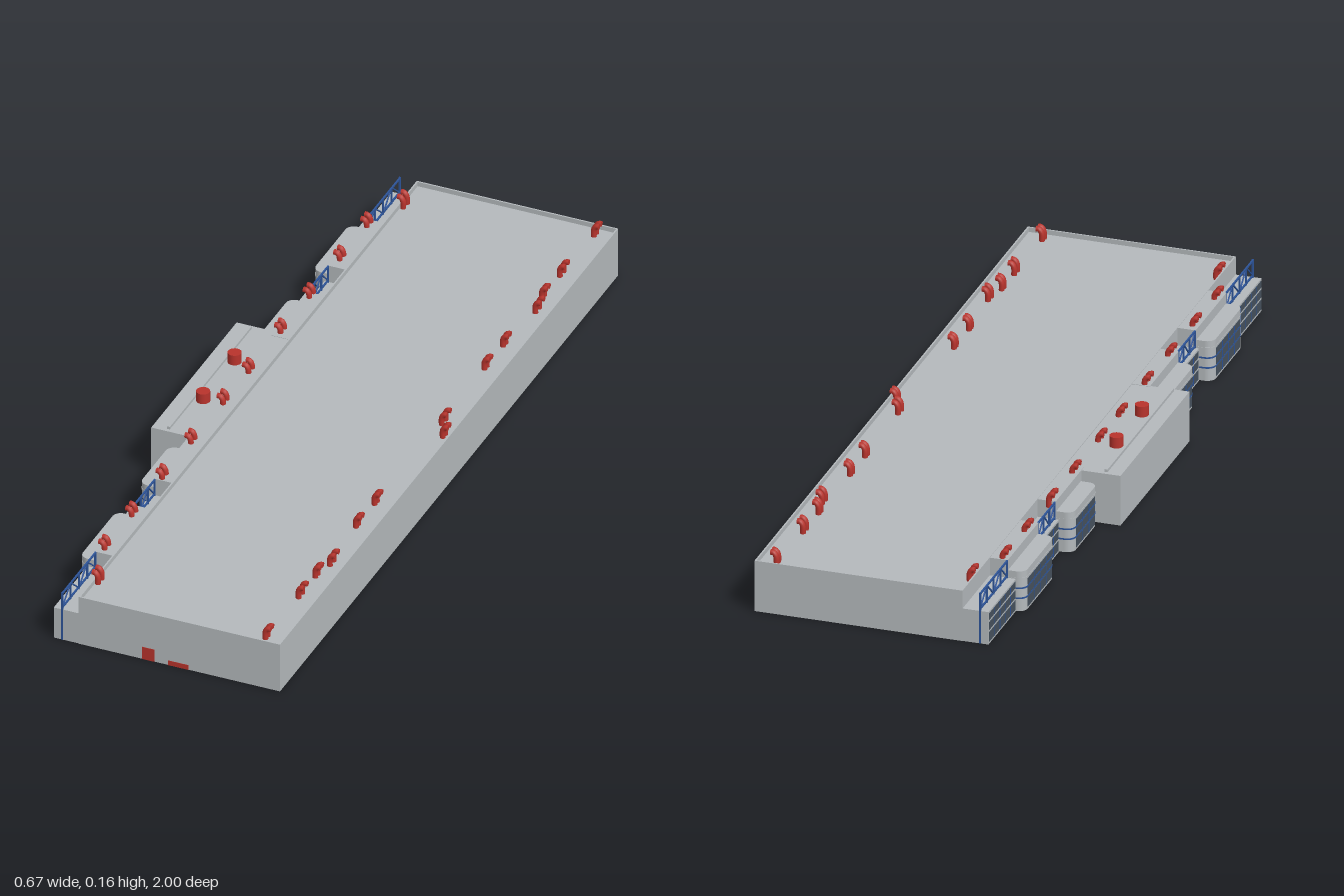
import * as THREE from 'three';

const mat = (name, color, side = THREE.FrontSide) => {
  const m = new THREE.MeshStandardMaterial({ color, side });
  m.name = name;
  return m;
};

export function createModel() {
  const grey = mat('concrete grey', 0xb4b9bc, THREE.DoubleSide);
  const red = mat('vent red', 0xb8332c, THREE.DoubleSide);
  const blue = mat('frame blue', 0x2d5499);
  const glass = mat('dark glass', 0x46525e);
  const root = new THREE.Group();
  root.name = 'building';

  const add = (name, geo, material, parent = root) => {
    const m = new THREE.Mesh(geo, material);
    m.name = name;
    parent.add(m);
    return m;
  };
  // Box given by its limits; open = without the bottom face
  const box = (name, x0, x1, y0, y1, z0, z1, material, open = false) => {
    const g = new THREE.BoxGeometry(x1 - x0, y1 - y0, z1 - z0);
    g.translate((x0 + x1) / 2, (y0 + y1) / 2, (z0 + z1) / 2);
    if (open) {
      const idx = Array.from(g.index.array);
      idx.splice(18, 6);
      g.setIndex(idx);
      g.clearGroups();
    }
    return add(name, g, material);
  };

  // Main hall: four thin walls with a parapet, and a sunken roof
  const H = 0.132, T = 0.004, X0 = -0.19, X1 = 0.333;
  box('rightWall', X0, X0 + T, 0, H, -1, 1, grey);
  box('leftWall', X1 - T, X1, 0, H, -1, 1, grey);
  for (const s of [-1, 1]) {
    const a = s, b = s * (1 - T);
    box('endWall', X0 + T, X1 - T, 0, H, Math.min(a, b), Math.max(a, b), grey);
  }
  box('mainRoof', X0 + T, X1 - T, 0.116, 0.12, -1 + T, 1 - T, grey);

  // Doors on the front end
  box('frontDoor', -0.025, 0.007, 0, 0.034, 0.999, 1.001, red);
  box('frontHatch', 0.042, 0.095, 0, 0.013, 0.999, 1.001, red);

  // Central block with roof ridge and two round vents
  box('centralBlock', -0.333, X0, 0, 0.13, -0.26, 0.245, grey, true);
  box('roofRidge', -0.297, -0.289, 0.13, 0.137, -0.25, 0.235, grey);
  for (const z of [-0.1, 0.086]) {
    const g = new THREE.CylinderGeometry(0.017, 0.017, 0.062, 20);
    add('roundVent', g, red).position.set(-0.268, 0.126, z);
  }

  // Plan of a bay with rounded outer corners
  const bayGeometry = (len, x, h, r = 0.022) => {
    const s = new THREE.Shape(), e = len / 2;
    s.moveTo(-0.23, -e);
    s.lineTo(-0.23, e);
    s.lineTo(x + r, e);
    s.absarc(x + r, e - r, r, Math.PI / 2, Math.PI, false);
    s.lineTo(x, -e + r);
    s.absarc(x + r, -e + r, r, Math.PI, Math.PI * 1.5, false);
    s.closePath();
    const g = new THREE.ExtrudeGeometry(s, { depth: h, bevelEnabled: false, curveSegments: 8 });
    return g.rotateX(-Math.PI / 2);
  };

  // Rows of windows with mullions on an outward face
  const windows = (x, z0, z1, rows) => {
    for (const [y0, y1] of rows) {
      box('windowBand', x - 0.001, x + 0.002, y0, y1, z0, z1, glass);
      const n = Math.max(2, Math.round((z1 - z0) / 0.04));
      for (let i = 1; i < n; i++) {
        const z = z0 + ((z1 - z0) * i) / n;
        box('mullion', x - 0.002, x, y0, y1, z - 0.001, z + 0.001, blue);
      }
    }
  };

  // Lattice railing along z
  const railing = (z0, z1) => {
    const x = -0.2335, y0 = 0.088, y1 = 0.131, t = 0.002;
    for (const y of [y0, y1 - 0.004]) box('rail', x - t, x + t, y, y + 0.004, z0, z1, blue);
    const n = Math.round((z1 - z0) / 0.045), step = (z1 - z0) / n;
    for (let i = 0; i <= n; i++) {
      const z = THREE.MathUtils.clamp(z0 + i * step, z0 + t, z1 - t);
      box('railPost', x - t, x + t, 0.085, y1, z - t, z + t, blue);
      if (i === n) continue;
      const g = new THREE.BoxGeometry(0.003, 0.003, Math.hypot(step, y1 - y0) - 0.004);
      const brace = add('railBrace', g, blue);
      brace.position.set(x, (y0 + y1) / 2, z0 + (i + 0.5) * step);
      brace.rotation.x = (i % 2 ? 1 : -1) * Math.atan2(y1 - y0, step);
    }
  };

  const rows = [[0.006, 0.031], [0.037, 0.057], [0.063, 0.08]];
  const span = (s, a, b) => (s > 0 ? [a, b] : [-b, -a]);
  for (const s of [-1, 1]) {
    // Full-height strips behind the bays
    for (const [a, b] of [[0.24, 0.45], [0.575, 0.8]]) {
      box('sideStrip', -0.235, X0, 0, 0.131, ...span(s, a, b), grey, true);
    }
    // Rounded bays with thin bands
    for (const [a, b] of [[0.265, 0.445], [0.58, 0.798]]) {
      const zc = (s * (a + b)) / 2, len = b - a;
      add('bay', bayGeometry(len, -0.277, 0.104), grey).position.z = zc;
      for (const y of [0.032, 0.058, 0.083]) {
        const band = add('bayBand', bayGeometry(len + 0.001, -0.2778, 0.004), y > 0.08 ? grey : blue);
        band.position.set(0, y, zc);
      }
      windows(-0.277, zc - len / 2 + 0.022, zc + len / 2 - 0.022, rows);
    }
    // Low terraces with railings: one between the bays, one at the end
    for (const [x, a, b] of [[-0.243, 0.45, 0.575], [-0.255, 0.8, 0.999]]) {
      const [z0, z1] = span(s, a, b);
      box('terrace', x, X0, 0, 0.085, z0, z1, grey, true);
      windows(x, z0 + 0.004, z1 - 0.004, rows);
      railing(z0, z1);
    }
    // Corner post
    box('cornerPost', -0.236, -0.231, 0, H, ...span(s, 0.997, 1), blue);
  }

  // Paired elbow vents along both roof edges
  const elbow = (x, z, dir) => {
    const path = new THREE.CatmullRomCurve3([
      [-0.002, 0.116], [-0.002, 0.138], [0.001, 0.146], [0.006, 0.15], [0.012, 0.15],
    ].map(([u, y]) => new THREE.Vector3(x + dir * u, y, z)));
    const g = new THREE.Group();
    g.name = 'elbowVent';
    root.add(g);
    add('ventPipe', new THREE.TubeGeometry(path, 10, 0.007, 10), red, g);
    const cap = add('ventMouth', new THREE.CircleGeometry(0.007, 10), red, g);
    cap.position.set(x + dir * 0.012, 0.15, z);
    cap.rotation.y = (dir * Math.PI) / 2;
  };
  const pair = (x, z, dir, gap = 0.011) => {
    for (const s of [-1, 1]) elbow(x, z + s * gap, dir);
  };
  const leftVents = [
    [0.288, -0.97, 0.007], [0.285, -0.78], [0.285, -0.67, 0.007], [0.296, -0.61],
    [0.285, -0.44, 0.007], [0.285, -0.33, 0.007], [0.29, -0.07], [0.315, -0.015, 0.007],
    [0.285, 0.32, 0.007], [0.285, 0.43, 0.007], [0.296, 0.605], [0.285, 0.67, 0.007],
    [0.285, 0.765], [0.285, 0.965, 0.007],
  ];
  for (const [x, z, gap] of leftVents) pair(x, z, 1, gap);
  for (const z of [-0.78, -0.62, -0.44, -0.27, -0.08, 0.07, 0.26, 0.43, 0.61, 0.77]) pair(-0.221, z, -1);
  for (const z of [-0.905, 0.9]) pair(-0.181, z, -1);

  return root;
}
